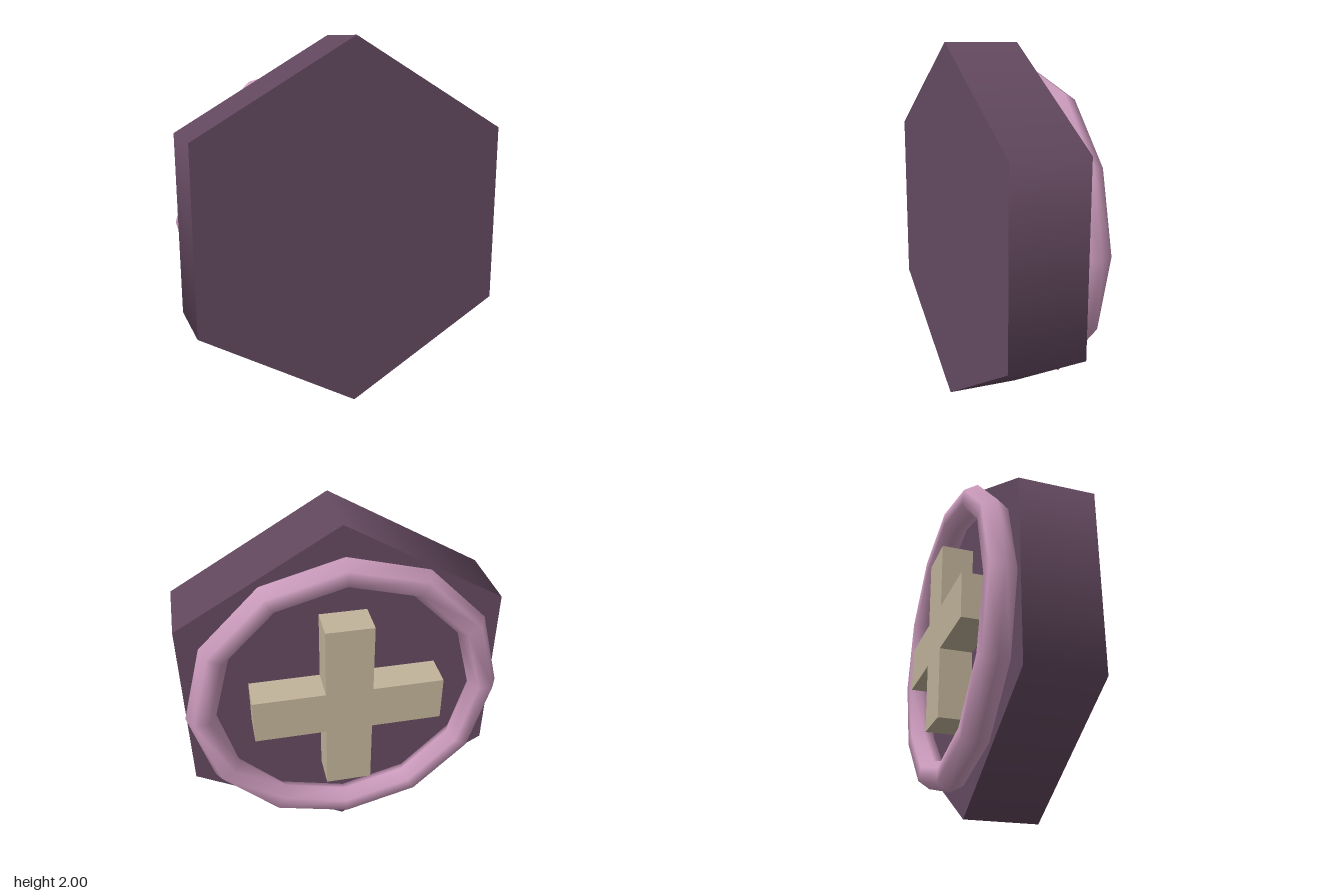
import * as THREE from 'three';

const material = (name, color) => {
  const m = new THREE.MeshStandardMaterial({ color });
  m.name = name;
  return m;
};

export function createModel() {
  const group = new THREE.Group();
  group.name = 'hexBadge';
  const plum = material('plum', 0x654a61);
  const pink = material('pink', 0xcc9bbd);
  const beige = material('beige', 0xc2b49a);

  const add = (name, geometry, mat, z) => {
    const mesh = new THREE.Mesh(geometry, mat);
    mesh.name = name;
    mesh.position.set(0, 1, z);
    group.add(mesh);
  };

  const front = 0.296, back = -0.115;

  // Hexagonal block, a corner pointing up
  const block = new THREE.CylinderGeometry(1, 1, front - back, 6);
  block.rotateX(Math.PI / 2);
  add('hexBlock', block, plum, (front + back) / 2);

  // Twelve-sided ring resting on the back face
  add('ring', new THREE.TorusGeometry(0.786, 0.082, 6, 12), pink, -0.186);

  // Raised cross inside the ring
  const a = 0.517, b = 0.128;
  const outline = [[b, a], [-b, a], [-b, b], [-a, b], [-a, -b], [-b, -b],
    [-b, -a], [b, -a], [b, -b], [a, -b], [a, b], [b, b]];
  const shape = new THREE.Shape(outline.map(([x, y]) => new THREE.Vector2(x, y)));
  const cross = new THREE.ExtrudeGeometry(shape, { depth: front + back, bevelEnabled: false });
  add('cross', cross, beige, -front);

  return group;
}
